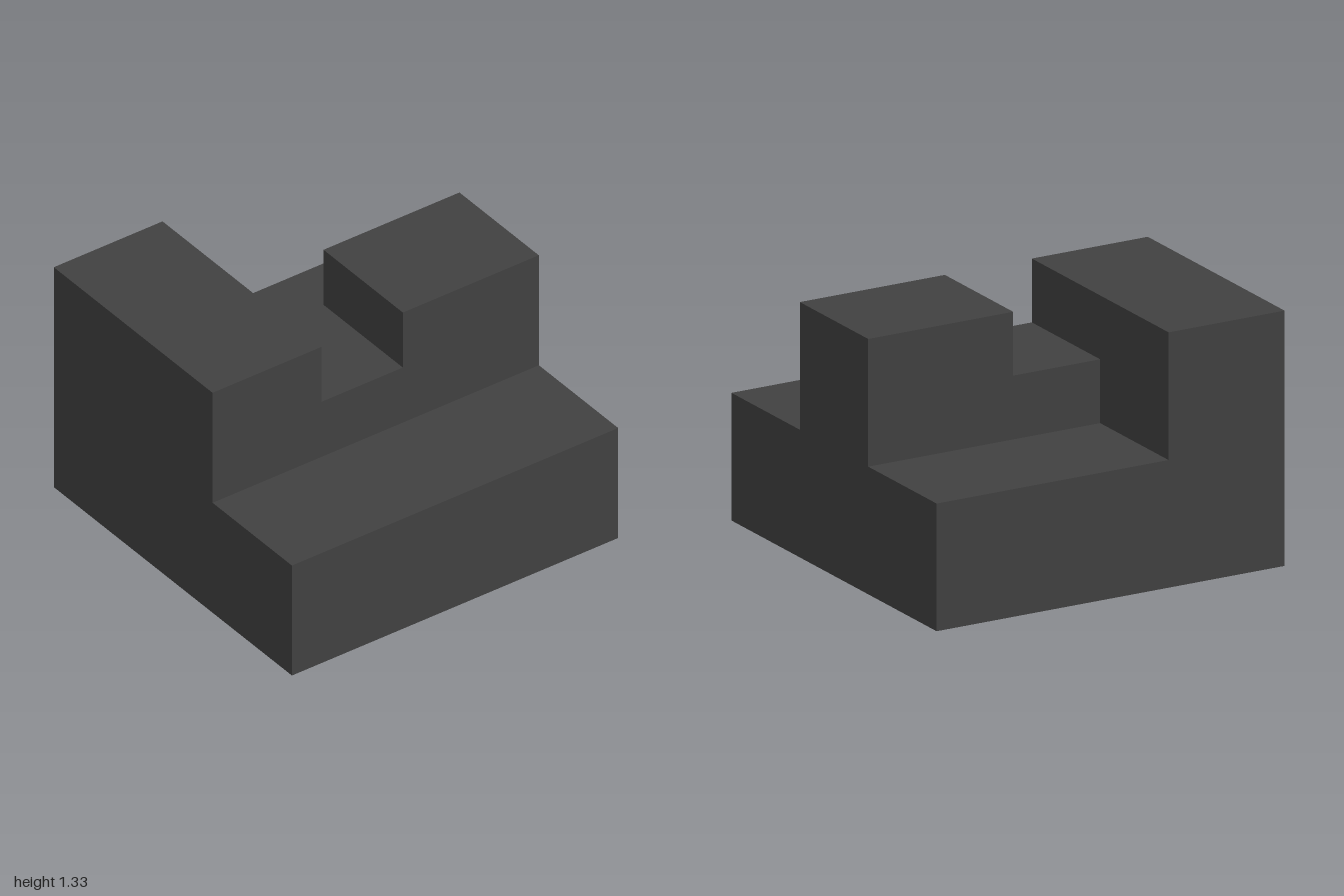
import * as THREE from 'three';

const T = 1 / 3; // the block is laid out on thirds of a unit

export function createModel() {
  const group = new THREE.Group();
  group.name = 'steppedBlock';

  const charcoal = new THREE.MeshStandardMaterial({ color: 0x414141 });
  charcoal.name = 'charcoal';

  // Box given by its extents along each axis
  function block(name, [x0, x1], [y0, y1], [z0, z1]) {
    const mesh = new THREE.Mesh(new THREE.BoxGeometry(x1 - x0, y1 - y0, z1 - z0), charcoal);
    mesh.position.set((x0 + x1) / 2, (y0 + y1) / 2, (z0 + z1) / 2);
    mesh.name = name;
    group.add(mesh);
  }

  // Square base slab
  block('base', [-1, 1], [0, 2 * T], [-1, 1]);
  // Long upper arm running to the back edge
  block('longArm', [-1, -T], [2 * T, 4 * T], [-1, T]);
  // Low bridge that forms the notch
  block('notchBridge', [-T, T / 2], [2 * T, 1], [-T, T]);
  // Short upper arm across the middle
  block('shortArm', [T / 2, 1], [2 * T, 4 * T], [-T, T]);

  return group;
}
